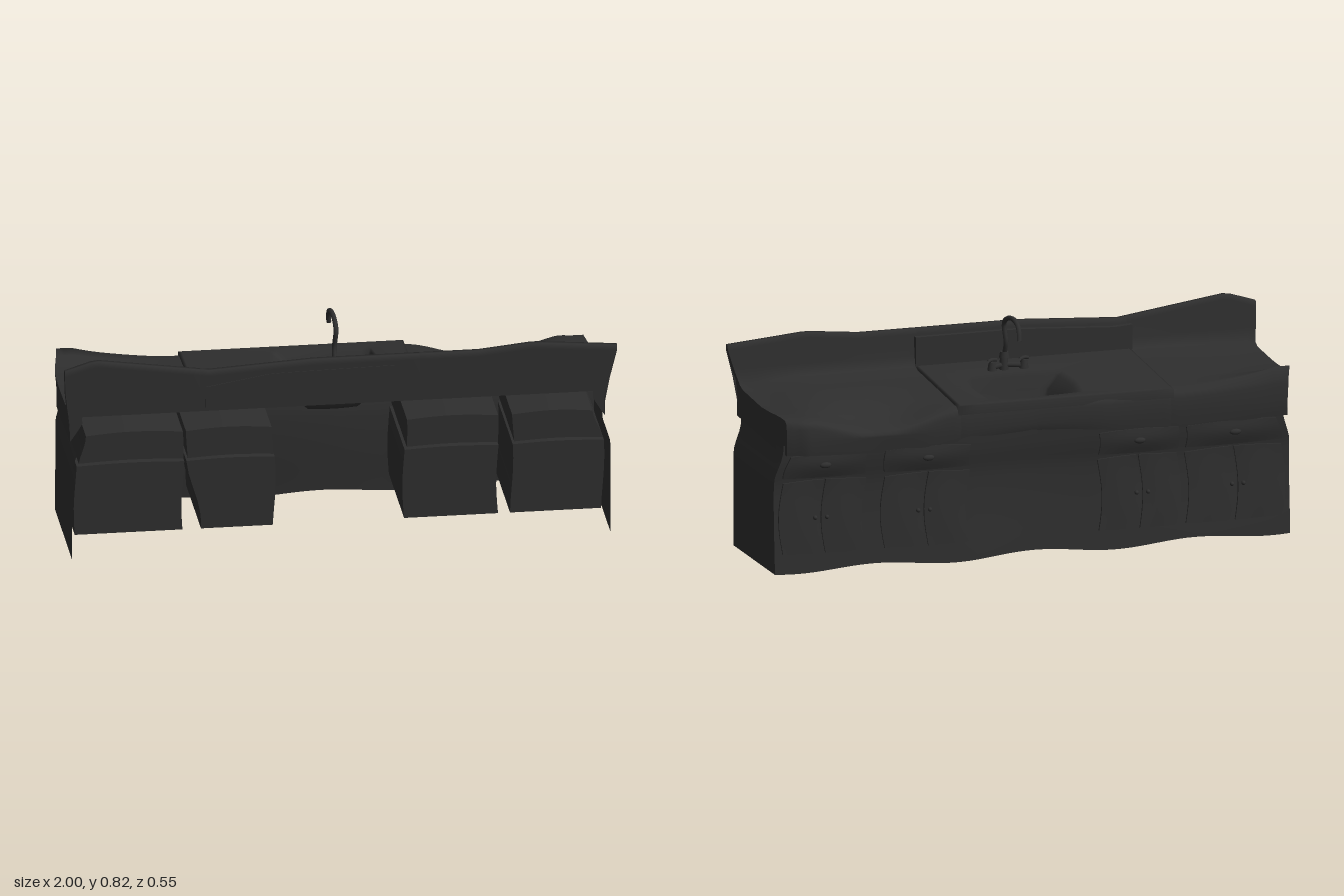
import * as THREE from 'three';

const mat = new THREE.MeshStandardMaterial({ color: 0x2e2e2e, side: THREE.DoubleSide });
const { smoothstep, lerp, clamp } = THREE.MathUtils;

// piecewise linear curve through [x, value] pairs
function curve(pts) {
  return (x) => {
    if (x <= pts[0][0]) return pts[0][1];
    for (let i = 1; i < pts.length; i++) {
      const [a, va] = pts[i - 1], [b, vb] = pts[i];
      if (x <= b) return lerp(va, vb, (x - a) / (b - a));
    }
    return pts[pts.length - 1][1];
  };
}

function mesh(name, geo) {
  const m = new THREE.Mesh(geo, mat);
  m.name = name;
  return m;
}

// surface from a rule f(u, v) -> [x, y, z]
function sheet(name, nu, nv, f) {
  const pos = [], idx = [];
  for (let i = 0; i <= nu; i++)
    for (let j = 0; j <= nv; j++) pos.push(...f(i / nu, j / nv));
  for (let i = 0; i < nu; i++)
    for (let j = 0; j < nv; j++) {
      const a = i * (nv + 1) + j, b = a + nv + 1;
      idx.push(a, b, a + 1, b, b + 1, a + 1);
    }
  const g = new THREE.BufferGeometry();
  g.setAttribute('position', new THREE.Float32BufferAttribute(pos, 3));
  g.setIndex(idx);
  g.computeVertexNormals();
  return mesh(name, g);
}

// box between two corners whose vertices are moved by a rule
function warpBox(name, min, max, seg, rule) {
  const g = new THREE.BoxGeometry(...max.map((v, i) => v - min[i]), ...seg);
  g.translate(...max.map((v, i) => (v + min[i]) / 2));
  const p = g.attributes.position;
  for (let i = 0; i < p.count; i++) p.setXYZ(i, ...rule(p.getX(i), p.getY(i), p.getZ(i)));
  g.computeVertexNormals();
  return mesh(name, g);
}

// shape rules: splash top, wavy cabinet front, tilted worktop, tapering sides
const splashTop = curve([[-1, 0.745], [-0.89, 0.78], [-0.48, 0.722], [-0.1, 0.745], [0.5, 0.745], [0.7, 0.765], [1, 0.74]]);
const frontZ = (x, y) => -0.235 - 0.01 * Math.sin(Math.abs(x) * 4.5) * Math.min(1, Math.abs(x) * 4)
  + 0.008 * Math.sin(y * 9 - 0.9) - 0.011 * smoothstep(y, 0.32, 0.42);
const arch = (x) => 0.01 * (1 + Math.cos((x * Math.PI * 2) / 0.6));
const bump = (x, z) => Math.pow(clamp((-x - 0.56) / 0.38, 0, 1), 1.4) * clamp((-z - 0.11) / 0.13, 0, 1);
// the front edge sags left of the sink
const sag = (x, z) => 0.055 * smoothstep(x, 0.29, 0.55) * (1 - smoothstep(x, 0.62, 0.88)) * smoothstep(-z, 0, 0.25);
const topY = (x, z) => 0.588 + 0.065 * z + 0.053 * bump(x, z) - sag(x, z)
  - 0.02 * smoothstep(x, 0.7, 1) * smoothstep(z, -0.2, 0) - 0.012 * smoothstep(-x, 0.6, 1) * smoothstep(z, -0.12, 0.05);
const lipY = (x, z) => 0.457 + 0.05 * z + 0.02 * Math.cos(x * 5) * (1 - x * x);
const lipZ = curve([[-1, -0.252], [-0.7, -0.258], [-0.5, -0.26], [-0.25, -0.268], [0, -0.252], [0.28, -0.26],
  [0.42, -0.27], [0.6, -0.26], [0.9, -0.275], [1, -0.255]]);
const bodyX = (x, y) => x - Math.sign(x) * 0.03 * smoothstep(Math.abs(x), 0.7, 0.97) * smoothstep(y, 0.34, 0.46);

// worktop cross-section, from the rear of the splash to the front lip
function profile(x) {
  const t = splashTop(x), f = lipZ(x);
  const p = [[0.266, 0.565], [0.271, t - 0.02], [0.266, t], [0.25, t], [0.244, t - 0.02], [0.24, 0.65],
    [0.228, topY(x, 0.22) + 0.01], [0.2, topY(x, 0.2)]];
  for (const z of [0.1, 0, -0.11, -0.15, -0.2, -0.238]) p.push([z, topY(x, z)]);
  p.push([f + 0.006, topY(x, f) - 0.008 - 0.04 * bump(x, f)],
    [f, topY(x, f) - 0.03 - 0.03 * bump(x, f) + 0.2 * sag(x, f)],
    [f - 0.002, 0.49], [f + 0.006, lipY(x, f)]);
  return p;
}
// the ends flare outward toward the splash top and draw in toward the front corners
function endX(x, y, z) {
  const k = smoothstep(Math.abs(x), 0.8, 1), inset = smoothstep(-z, 0.08, 0.26);
  return x > 0 ? x - k * (0.045 + 0.012 * inset) * (1 - smoothstep(y, 0.56, 0.74))
    : x + k * (0.018 * (1 - smoothstep(y, 0.5, 0.7)) + 0.03 * inset);
}
function worktop(name, x0, x1, i0, i1) {
  return sheet(name, Math.ceil((x1 - x0) * 32), i1 - i0, (u, v) => {
    const x = lerp(x0, x1, u), [z, y] = profile(x)[i0 + Math.round(v * (i1 - i0))];
    return [endX(x, y, z), y, z];
  });
}

function sink() {
  // loft of rounded rectangles: plate edge, plate top, rim, basin, drain
  const rings = [ // x0, x1, z0, z1, height, roundness, follows worktop
    [-0.52, 0.295, -0.262, 0.232, -0.025, 0, 1], [-0.52, 0.295, -0.262, 0.232, 0.007, 0, 1],
    [-0.51, 0.285, -0.255, 0.226, 0.01, 0, 1], [-0.21, 0.18, -0.225, 0.07, 0.01, 0.25, 1],
    [-0.19, 0.18, -0.213, 0.06, -0.005, 0.28, 1], [-0.15, 0.165, -0.195, 0.05, 0.54, 0.3, 0],
    [-0.13, 0.14, -0.175, 0.03, 0.48, 0.35, 0], [-0.1, 0.11, -0.155, 0.01, 0.44, 0.45, 0],
    [-0.05, 0.08, -0.12, -0.03, 0.423, 0.6, 0], [-0.01, 0.03, -0.09, -0.06, 0.42, 1, 0], [0.01, 0.01, -0.075, -0.075, 0.42, 1, 0]];
  return sheet('sink', rings.length - 1, 64, (u, v) => {
    const [x0, x1, z0, z1, h, round, follow] = rings[Math.round(u * (rings.length - 1))];
    const a = v * Math.PI * 2, c = Math.cos(a), s = Math.sin(a);
    const k = lerp(1 / Math.max(Math.abs(c), Math.abs(s)), 1, round);
    const x = (x0 + x1) / 2 + (c * k * (x1 - x0)) / 2, z = (z0 + z1) / 2 + (s * k * (z1 - z0)) / 2;
    return [x, follow ? topY(x, z) + h : h, z];
  });
}

function faucet() {
  const g = new THREE.Group();
  g.name = 'faucet';
  const tube = (name, pts, r) => g.add(mesh(name, new THREE.TubeGeometry(
    new THREE.CatmullRomCurve3(pts.map((p) => new THREE.Vector3(...p))), 28, r, 8)));
  const post = (name, x, r0, r1, y0, y1, z) => {
    const m = mesh(name, new THREE.CylinderGeometry(r1, r0, y1 - y0, 10));
    m.position.set(x, (y0 + y1) / 2, z);
    g.add(m);
  };
  post('column', 0, 0.018, 0.013, 0.59, 0.66, 0.11);
  post('collar', 0, 0.019, 0.015, 0.65, 0.672, 0.105);
  tube('spout', [[0, 0.66, 0.105], [0, 0.71, 0.086], [0.005, 0.775, 0.092], [0.005, 0.795, 0.078], [0.003, 0.811, 0.04],
    [0, 0.815, 0], [-0.003, 0.803, -0.035], [-0.003, 0.78, -0.054], [0, 0.748, -0.065]], 0.009);
  tube('crossbar', [[-0.075, 0.615, 0.112], [0, 0.622, 0.108], [0.045, 0.615, 0.105]], 0.01);
  for (const x of [-0.075, 0.045]) {
    post('tapBase', x, 0.02, 0.012, 0.59, 0.635, 0.108);
    tube('tapLever', [[x - 0.018, 0.64, 0.115], [x, 0.643, 0.108], [x + 0.018, 0.64, 0.1]], 0.007);
  }
  post('drain', 0.01, 0.022, 0.018, 0.418, 0.428, -0.075);
  return g;
}

// drawer above a pair of doors, with the storage boxes behind them
function cabinet(x0, x1, cut) {
  const g = new THREE.Group();
  g.name = 'cabinet';
  const mid = (x0 + x1) / 2, w = x1 - x0;
  const box = (name, a, b, y0, y1, zBack) => g.add(warpBox(name, [a, y0, 0], [b, y1, 1], [8, 5, 5], (x, y, z) => {
    const lean = 0.006 * Math.sin(y * 14 + mid * 5) + cut * ((b - x) / w) * (1 - smoothstep(y, 0.08, 0.33));
    const lift = 0.01 * Math.sin(((x - x0) / w) * Math.PI) * smoothstep(y, 0.2, 0.45);
    return [bodyX(x + lean, y), y + lift, lerp(frontZ(x, y) + 0.005, zBack, z)];
  }));
  box('doorBox', x0, x1, 0.07, 0.335, 0.175);
  box('drawerBox', x0 + 0.005, x1 - 0.005, 0.35, 0.455, 0.185);
  // rounded front panels standing slightly proud of the cabinet front
  const panel = (name, a, b, y0, y1) => g.add(warpBox(name, [a, y0, 0], [b, y1, 1], [8, 8, 2], (x, y, z) => {
    const u = (x - a) / (b - a), v = (y - y0) / (y1 - y0);
    const puff = 0.008 + 0.006 * Math.sin(u * Math.PI) * Math.sin(v * Math.PI);
    const px = bodyX(x + 0.014 * Math.sin(v * 3.4) * Math.sign(mid) * (name === 'door' ? 1 : 0.3), y);
    const py = y + 0.012 * Math.sin(((x - x0) / w) * Math.PI) * (v - 0.3);
    return [px, py, frontZ(px, py) + lerp(-puff, 0.003, z)];
  }));
  panel('drawerFront', x0 + 0.01, x1 - 0.01, 0.355, 0.435);
  panel('door', x0 + 0.01, mid - 0.004, 0.075, 0.335);
  panel('door', mid + 0.004, x1 - 0.01, 0.075, 0.335);
  const knob = (name, x, y, sx, sy) => {
    const m = mesh(name, new THREE.SphereGeometry(1, 10, 8));
    m.scale.set(sx, sy, 0.009);
    m.position.set(x, y, frontZ(x, y) - 0.016);
    g.add(m);
  };
  for (const s of [-1, 1]) knob('doorKnob', mid + 0.013 * Math.sign(mid) + s * 0.022, 0.205, 0.008, 0.008);
  knob('drawerPull', mid, 0.4, 0.022, 0.011);
  return g;
}

export function createModel() {
  const model = new THREE.Group();
  model.name = 'kitchenCounter';

  // worktop and splash, left open where the sink plate sits
  const last = profile(0).length - 1;
  model.add(worktop('worktopRight', -1, -0.51, 0, last), worktop('worktopLeft', 0.285, 1, 0, last));
  model.add(worktop('splashMiddle', -0.51, 0.285, 0, 7), worktop('lipMiddle', -0.51, 0.285, last - 4, last));
  for (const x of [-1, 1]) {
    model.add(sheet('worktopEnd', last, 4, (u, v) => {
      const [z, y] = profile(x)[Math.round(u * last)];
      const py = lerp(y, Math.min(y, lipY(x, z)), v);
      return [endX(x, py, z), py, z];
    }));
    // short return behind each end
    model.add(sheet('rearReturn', 4, 2, (u, v) => {
      const px = x * lerp(1, 0.95, u), py = lerp(0.57, lerp(0.47, 0.54, u), v);
      return [endX(px, py, 0.266), py, 0.266];
    }));
  }
  model.add(sink(), faucet());
  // upstand rising from the sink plate, and the thin panel behind the splash
  model.add(warpBox('sinkUpstand', [-0.525, 0, 0.222], [0.295, 1, 0.243], [12, 2, 1],
    (x, y, z) => [x, lerp(0.585, splashTop(x) - 0.027, y), z]));
  const rearTop = curve([[-0.49, 0.66], [-0.25, 0.7], [0.195, 0.708]]);
  model.add(warpBox('rearPanel', [-0.49, 0, 0.264], [0.195, 1, 0.273], [12, 2, 1],
    (x, y, z) => [x, lerp(0.58, rearTop(x), y), z]));

  // cabinet shell: wavy front and two sides, open at the rear and below
  model.add(sheet('frontPanel', 64, 16, (u, v) => {
    const x = lerp(-0.97, 0.98, u), y = lerp(arch(x), 0.48, v);
    return [bodyX(x, y), y, frontZ(x, y)];
  }));
  for (const x of [-0.97, 0.98])
    model.add(sheet('sidePanel', 8, 16, (u, v) => {
      const y = lerp(arch(x) * (1 - u), 0.48, v);
      return [bodyX(x, y), y, lerp(frontZ(x, y), 0.24, u)];
    }));

  for (const [a, b, cut] of [[-0.95, -0.56, 0], [-0.55, -0.23, 0.06], [0.24, 0.58, 0], [0.63, 0.96, 0]])
    model.add(cabinet(a, b, cut));
  return model;
}
